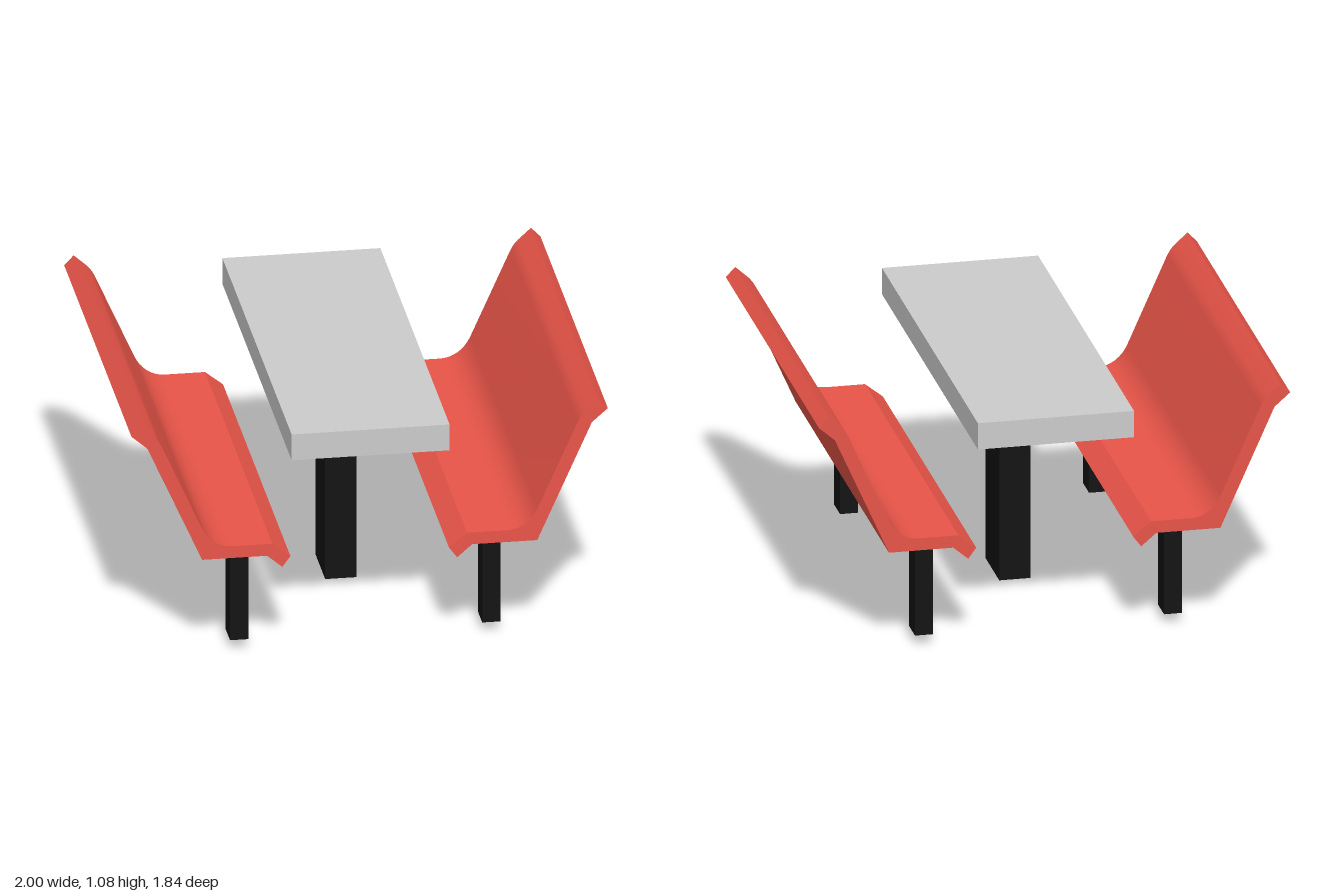
import * as THREE from 'three';
import { toCreasedNormals } from 'three/addons/utils/BufferGeometryUtils.js';

const grey = new THREE.MeshStandardMaterial({ color: 0xcccccc });
const red = new THREE.MeshStandardMaterial({ color: 0xe85448 });
const black = new THREE.MeshStandardMaterial({ color: 0x111111 });

// Box given by its lower and upper limits on each axis
function box(name, material, [x0, x1], [y0, y1], [z0, z1]) {
  const mesh = new THREE.Mesh(new THREE.BoxGeometry(x1 - x0, y1 - y0, z1 - z0), material);
  mesh.position.set((x0 + x1) / 2, (y0 + y1) / 2, (z0 + z1) / 2);
  mesh.name = name;
  return mesh;
}

function createBench() {
  const bench = new THREE.Group();

  // Seat and backrest: one continuous bent panel
  const s = new THREE.Shape();
  s.moveTo(0.366, 0.405);
  s.lineTo(0.43, 0.46);
  s.lineTo(0.703, 0.46);
  s.lineTo(0.933, 0.979);
  s.lineTo(1.0, 1.038);
  s.lineTo(0.96, 1.08);
  s.lineTo(0.905, 1.03);
  s.quadraticCurveTo(0.885, 1.01, 0.872, 0.982);
  s.lineTo(0.705, 0.605);
  s.bezierCurveTo(0.68, 0.55, 0.635, 0.513, 0.575, 0.513);
  s.lineTo(0.408, 0.513);
  s.lineTo(0.332, 0.452);
  s.closePath();
  const geometry = new THREE.ExtrudeGeometry(s, { depth: 1.795, bevelEnabled: false, curveSegments: 8 });
  geometry.translate(0, 0, -0.89);
  const panel = new THREE.Mesh(toCreasedNormals(geometry, 0.35), red);
  panel.name = 'seatAndBackrest';
  bench.add(panel);

  // Two legs under the seat
  for (const z of [0.712, -0.73]) {
    bench.add(box('benchLeg', black, [0.493, 0.57], [0.043, 0.46], [z - 0.06, z + 0.06]));
  }
  return bench;
}

export function createModel() {
  const model = new THREE.Group();
  model.name = 'picnicTable';

  // Table top on a single post with a bare grey underside
  model.add(box('tableTop', grey, [-0.332, 0.332], [0.9, 1.017], [-0.922, 0.922]));
  model.add(box('tablePost', [black, black, black, grey, black, black],
    [-0.066, 0.066], [0, 0.9], [-0.131, 0.131]));

  // The second bench is the first turned half round
  for (const [name, turn] of [['leftBench', 0], ['rightBench', Math.PI]]) {
    const bench = createBench();
    bench.name = name;
    bench.rotation.y = turn;
    model.add(bench);
  }
  return model;
}
